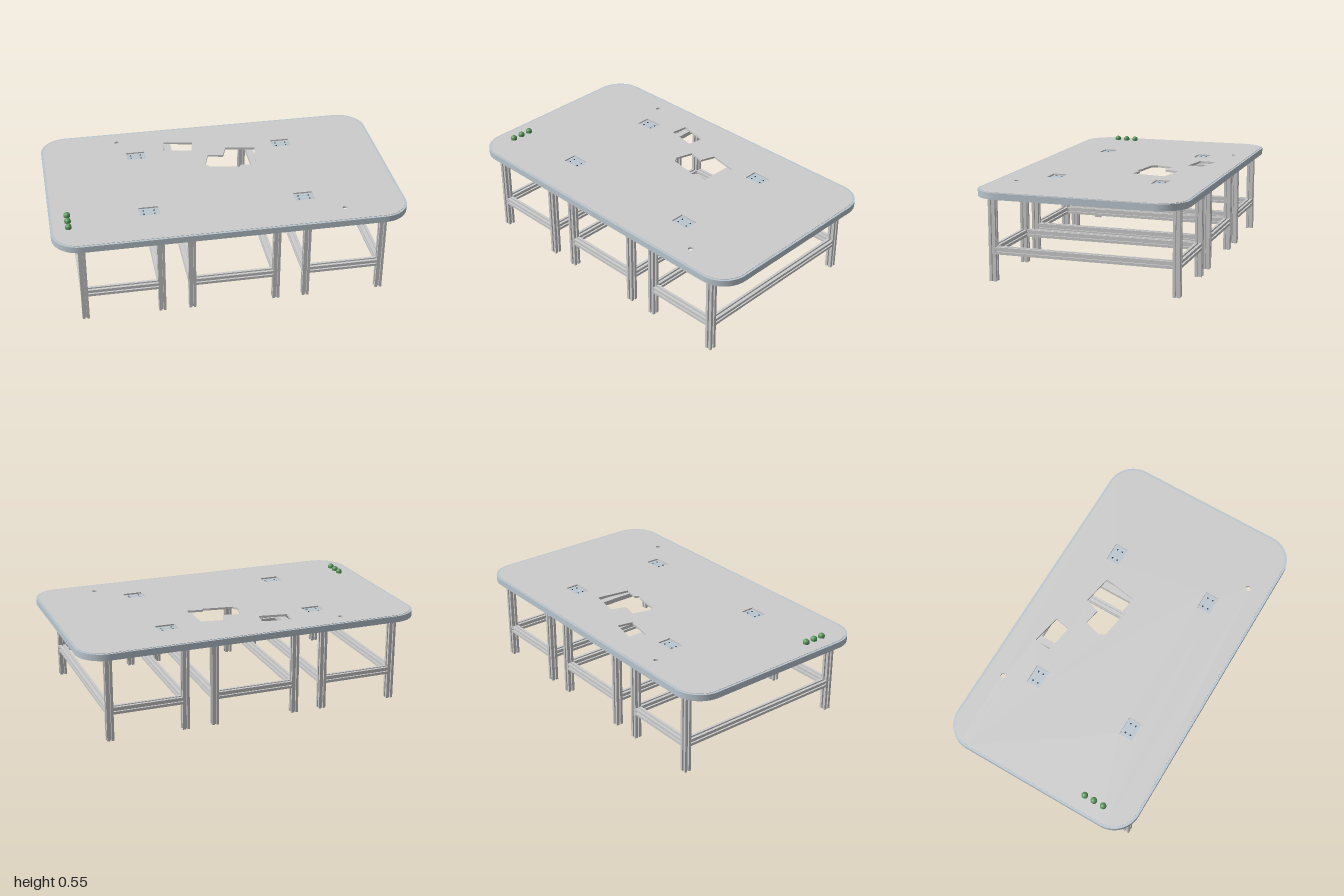
import * as THREE from 'three';

const grey = new THREE.MeshStandardMaterial({ color: 0xcccccc });
const steel = new THREE.MeshStandardMaterial({ color: 0xbac6cf });
const green = new THREE.MeshStandardMaterial({ color: 0x5a965c });
const dark = new THREE.MeshStandardMaterial({ color: 0x3a3a3a });

const SHEET_TOP = 0.523, RIM_BOTTOM = 0.485, SHEET = 0.012, BEAM = 0.04;

function add(group, name, geometry, material, x = 0, y = 0, z = 0) {
  const mesh = new THREE.Mesh(geometry, material);
  mesh.name = name;
  mesh.position.set(x, y, z);
  group.add(mesh);
  return mesh;
}

// Rounded rectangle in plan, half sizes w and d
function roundedRect(w, d, r, Type = THREE.Shape) {
  const s = new Type();
  s.absarc(w - r, d - r, r, 0, Math.PI / 2);
  s.absarc(-w + r, d - r, r, Math.PI / 2, Math.PI);
  s.absarc(-w + r, -d + r, r, Math.PI, Math.PI * 1.5);
  s.absarc(w - r, -d + r, r, Math.PI * 1.5, Math.PI * 2);
  s.closePath();
  return s;
}

function polygon(points, Type = THREE.Path) {
  return new Type(points.map(([x, y]) => new THREE.Vector2(x, y)));
}

function circle(x, y, r) {
  const p = new THREE.Path();
  p.absarc(x, y, r, 0, Math.PI * 2);
  return p;
}

// Plan shape (x, z) extruded downwards from y = 0
function slab(shape, depth) {
  return new THREE.ExtrudeGeometry(shape, { depth, bevelEnabled: false, curveSegments: 16 })
    .rotateX(Math.PI / 2);
}

// Square section with one slot in each face
function slottedSection() {
  const h = BEAM / 2, s = 0.005, d = 0.01;
  const side = [[h, -h], [h, -s], [h - d, -s], [h - d, s], [h, s]];
  const points = [];
  for (let i = 0; i < 4; i++) {
    const c = Math.round(Math.cos(i * Math.PI / 2)), n = Math.round(Math.sin(i * Math.PI / 2));
    for (const [x, y] of side) points.push([x * c - y * n, x * n + y * c]);
  }
  return polygon(points, THREE.Shape);
}

// Slotted beam centred on the origin along the given axis
function beam(length, axis) {
  const g = new THREE.ExtrudeGeometry(slottedSection(), { depth: length, bevelEnabled: false });
  g.translate(0, 0, -length / 2);
  if (axis === 'x') g.rotateY(Math.PI / 2);
  if (axis === 'y') g.rotateX(Math.PI / 2);
  return g;
}

// Four-legged stand between two x positions
function createStand(x0, x1) {
  const stand = new THREE.Group();
  const z = 0.52, railY = 0.173, mid = (x0 + x1) / 2;
  for (const x of [x0, x1]) {
    for (const s of [-1, 1])
      add(stand, 'leg', beam(RIM_BOTTOM, 'y'), grey, x, RIM_BOTTOM / 2, s * z);
    add(stand, 'lowerSideRail', beam(2 * z - BEAM, 'z'), grey, x, railY, 0);
    const h = SHEET_TOP - SHEET - RIM_BOTTOM;
    add(stand, 'topRail', new THREE.BoxGeometry(BEAM, h, 2 * z + BEAM), grey,
      x, RIM_BOTTOM + h / 2, 0);
  }
  for (const s of [-1, 1])
    add(stand, 'lowerCrossRail', beam(x1 - x0 - BEAM, 'x'), grey, mid, railY, s * z);
  return stand;
}

function createTableTop() {
  const top = new THREE.Group();
  top.name = 'tableTop';
  const pads = [];
  for (const x of [-0.445, 0.44]) for (const z of [-0.305, 0.305]) pads.push([x, z]);

  // Sheet with cutouts, cable holes and pad pockets
  const sheet = roundedRect(0.987, 0.577, 0.143);
  sheet.holes.push(
    polygon([[-0.26, -0.435], [-0.09, -0.4], [-0.107, -0.31], [-0.272, -0.338]]),
    polygon([[-0.02, -0.24], [0.07, -0.222], [0.1, -0.307], [0.272, -0.275], [0.24, -0.08],
      [0.155, -0.095], [0.14, -0.072], [0.105, -0.085], [-0.03, -0.105], [-0.05, -0.14]]),
    circle(-0.54, -0.48, 0.014), circle(0.64, 0.465, 0.015));
  for (const [x, z] of pads)
    sheet.holes.push(polygon([[x - 0.055, z - 0.04], [x + 0.055, z - 0.04],
      [x + 0.055, z + 0.04], [x - 0.055, z + 0.04]]));
  add(top, 'sheet', slab(sheet, SHEET), grey, 0, SHEET_TOP, 0);

  // Edge band
  const rim = roundedRect(1, 0.59, 0.156);
  rim.holes.push(roundedRect(0.987, 0.577, 0.143, THREE.Path));
  add(top, 'rim', slab(rim, SHEET_TOP - 0.002 - RIM_BOTTOM), steel, 0, SHEET_TOP - 0.002, 0);

  // Sunken mounting pads with four screws each
  for (const [x, z] of pads) {
    add(top, 'mountingPad', new THREE.BoxGeometry(0.11, 0.012, 0.08), steel,
      x, SHEET_TOP - 0.014, z);
    for (const sx of [-0.03, 0.03]) for (const sz of [-0.016, 0.016])
      add(top, 'screw', new THREE.CylinderGeometry(0.005, 0.005, 0.002, 12), dark,
        x + sx, SHEET_TOP - 0.008, z + sz);
  }
  return top;
}

// Domed push button on a short collar, with its stem under the sheet
function createButton() {
  const button = new THREE.Group();
  button.name = 'pushButton';
  add(button, 'collar', new THREE.CylinderGeometry(0.018, 0.018, 0.01, 24), green, 0, 0.005, 0);
  add(button, 'dome', new THREE.SphereGeometry(0.018, 24, 10, 0, Math.PI * 2, 0, Math.PI / 2),
    green, 0, 0.01, 0).scale.y = 0.9;
  add(button, 'stem', new THREE.CylinderGeometry(0.014, 0.014, 0.016, 20), dark, 0, -0.008, 0);
  return button;
}

export function createModel() {
  const model = new THREE.Group();
  model.name = 'table';
  model.add(createTableTop());

  const stands = [['rightStand', -0.845, -0.412], ['middleStand', -0.24, 0.24],
    ['leftStand', 0.412, 0.845]];
  for (const [name, x0, x1] of stands) {
    const stand = createStand(x0, x1);
    stand.name = name;
    model.add(stand);
  }

  for (const z of [0.28, 0.338, 0.397]) {
    const button = createButton();
    button.position.set(-0.9, SHEET_TOP, z);
    model.add(button);
  }
  return model;
}
